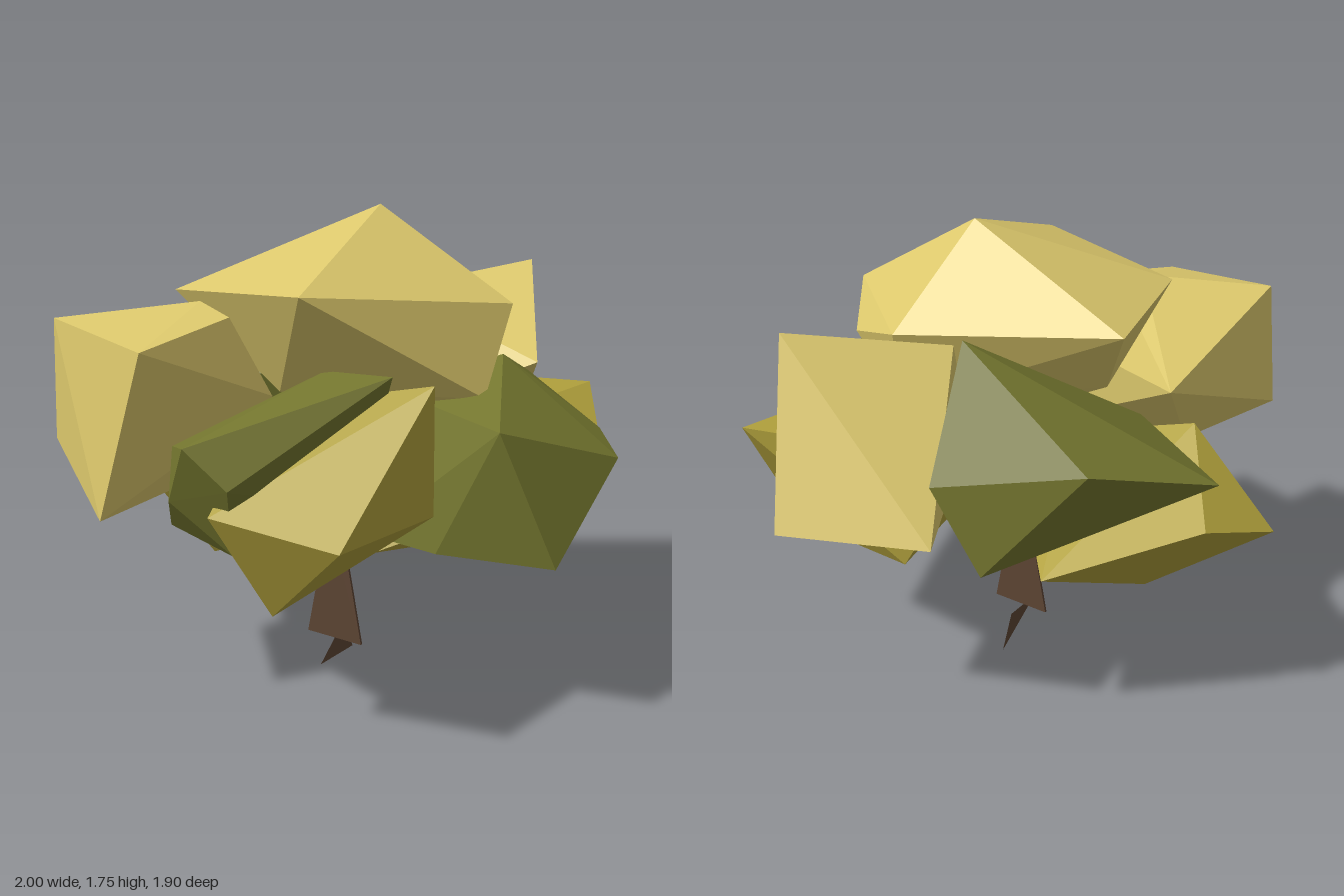
import * as THREE from 'three';
import { ConvexGeometry } from 'three/addons/geometries/ConvexGeometry.js';

const material = (color) =>
  new THREE.MeshStandardMaterial({ color, flatShading: true, side: THREE.DoubleSide });
const straw = material(0xdcc86c), gold = material(0xb0a03c);
const green = material(0x74762f), bark = material(0x5c4433);

const vectors = (points) => points.map((p) => new THREE.Vector3(...p));

export function createModel() {
  const tree = new THREE.Group();
  tree.name = 'tree';

  const add = (name, geometry, mat) => {
    const mesh = new THREE.Mesh(geometry, mat);
    mesh.name = name;
    tree.add(mesh);
    return mesh;
  };
  // A faceted leaf clump: the hull around a few corners
  const clump = (name, mat, points) => add(name, new ConvexGeometry(vectors(points)), mat);
  // A flat sliver of bark
  const sliver = (name, points) =>
    add(name, new THREE.BufferGeometry().setFromPoints(vectors(points)), bark).geometry.computeVertexNormals();

  // Pale clumps: crown, back and front
  clump('crownFoliage', straw, [
    [0.11, 1.75, -0.05], [-0.54, 1.48, -0.14], [-0.39, 1.48, 0.48], [0.24, 1.54, 0.65],
    [0.63, 1.45, -0.05], [0.5, 1.32, -0.25], [0.23, 1.4, -0.37], [0.61, 1.15, 0.1],
    [0, 1.16, 0.42], [0.3, 1.08, -0.25], [-0.35, 1.18, 0.1], [0.05, 0.98, 0.08],
  ]);
  clump('backFoliage', straw, [
    [0.39, 1.49, -0.74], [0.28, 0.875, -0.95], [-0.21, 0.88, -0.75], [0, 1.4, -0.33],
    [0.63, 1.2, -0.28], [0.45, 0.98, -0.6], [0.22, 0.83, -0.6], [0.1, 0.95, -0.12],
  ]);
  clump('frontRightFoliage', straw, [
    [-0.64, 1.41, 0.81], [-0.71, 0.97, 0.77], [-0.35, 0.79, 0.95], [-0.17, 1.37, 0.92],
    [-0.25, 1.46, 0.52], [-0.09, 1.43, 0.57], [-0.58, 1.2, 0.14], [-0.01, 1.15, 0.45],
    [-0.5, 0.88, 0.45], [-0.12, 0.92, 0.4],
  ]);

  // Dark green clumps
  clump('backRightFoliage', green, [
    [-0.9, 1.05, -0.12], [-0.65, 1.18, -0.53], [-0.14, 1.05, -0.66], [-0.12, 1.48, -0.44],
    [-0.48, 1.1, 0.12], [-0.31, 0.75, -0.62], [-0.55, 0.9, 0], [-0.08, 0.78, -0.15],
    [0, 1.1, -0.08],
  ]);
  clump('leftFoliage', green, [
    [0.78, 1.12, 0.34], [1, 0.945, -0.14], [0.95, 0.66, 0.24], [0.57, 0.67, 0.35],
    [0.56, 1.25, -0.14], [0.6, 1.17, -0.27], [0.88, 1.0, -0.27], [0.78, 0.615, -0.26],
    [0.27, 0.66, 0.3], [0.1, 0.9, 0.08], [0.2, 1.12, 0.05],
  ]);
  clump('frontFoliage', green, [
    [0.01, 1.1, 0.95], [0.44, 1.27, 0.42], [0.17, 1.25, 0.4], [-0.14, 1.05, 0.82],
    [-0.14, 0.87, 0.85], [-0.29, 0.7, 0.67], [0.06, 0.7, 0.78], [0.14, 0.97, 0.9],
    [0.3, 0.8, 0.4], [-0.1, 0.74, 0.3], [0, 0.85, 0.12],
  ]);

  // Golden clumps
  clump('lowerRightFoliage', gold, [
    [-1, 0.78, 0.15], [-0.51, 0.375, 0.17], [-0.14, 0.55, 0.25], [-0.65, 1.08, 0.2],
    [-0.64, 0.75, 0.4], [-0.41, 0.66, -0.41], [-0.88, 0.88, -0.15], [-0.05, 0.8, 0],
    [-0.2, 0.95, 0.15],
  ]);
  clump('backLeftFoliage', gold, [
    [0.68, 1.05, -0.68], [0.67, 0.54, -0.42], [0.93, 0.86, -0.22], [0.28, 0.58, 0.27],
    [0.46, 1.05, -0.62], [0.11, 0.59, -0.5], [0.6, 1.05, -0.2], [0.12, 0.85, -0.05],
  ]);
  clump('frontLeftFoliage', gold, [
    [0.57, 1.25, 0.38], [0.54, 0.85, 0.89], [0.17, 0.49, 0.72], [0.06, 0.87, 0.9],
    [0.56, 0.8, 0.35], [0.3, 0.62, 0.28], [0, 1.13, 0.5], [-0.02, 0.67, 0.32],
  ]);

  // Thin flat trunk, widening to the foot, and a root shard below it
  const trunk = new THREE.Shape([[-0.1, 0.12], [0.14, 0.12], [0.05, 0.6], [0.035, 0.78], [0, 0.78], [-0.005, 0.6]]
    .map((p) => new THREE.Vector2(...p)));
  add('trunk', new THREE.ExtrudeGeometry(trunk, { depth: 0.01, bevelEnabled: false }).translate(0, 0, 0.11), bark);
  sliver('root', [[0.045, 0.07, 0.25], [-0.01, 0.14, 0], [-0.01, 0, -0.06]]);

  // Branches fan out from the top of the trunk into the clumps
  const tips = [
    [0.445, 0.75, 0.785], [-0.3, 0.85, 0.3], [-0.2, 0.95, -0.2], [0.2, 0.95, -0.2], [0.1, 1.15, 0.1],
  ];
  for (const [x, y, z] of tips) sliver('branch', [[0.015, 0.58, 0.115], [0.02, 0.62, 0.115], [x, y, z]]);

  return tree;
}
